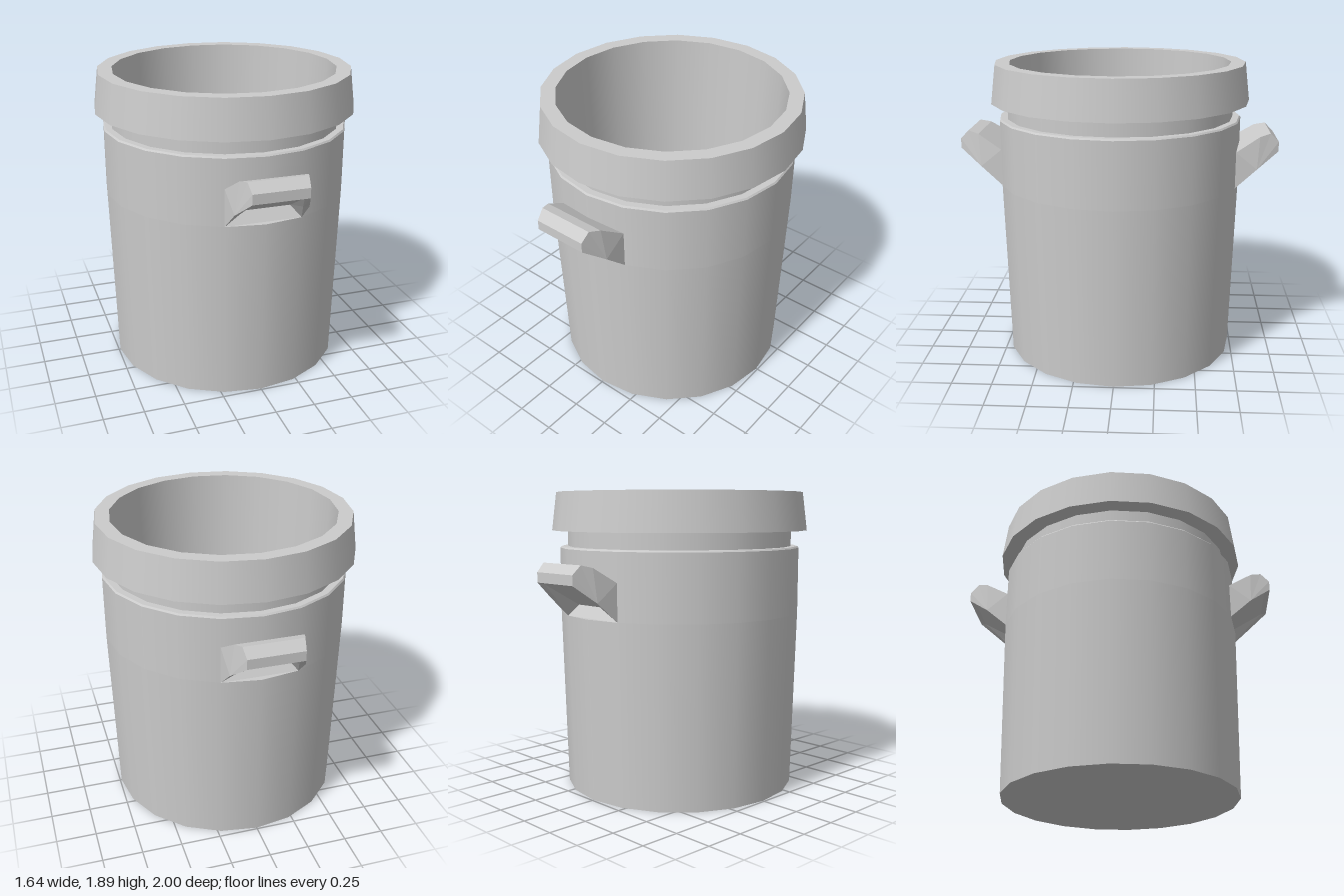
import * as THREE from 'three';

const SIDES = 20;
const STEP = (Math.PI * 2) / SIDES;
const material = new THREE.MeshStandardMaterial({ color: 0xcccccc });

// One creased band per profile segment: smooth around, sharp between bands.
function turned(name, profile, start = 0, segments = SIDES) {
  const group = new THREE.Group();
  group.name = name;
  for (let i = 0; i < profile.length - 1; i++) {
    const points = [profile[i], profile[i + 1]].map(([r, y]) => new THREE.Vector2(r, y));
    const band = new THREE.Mesh(
      new THREE.LatheGeometry(points, segments, start * STEP, segments * STEP), material);
    band.name = name + 'Band';
    group.add(band);
  }
  return group;
}

// Hollow grip: a sloping hood with two cheeks over a recess in the wall.
function handleGeometry() {
  const p = (x, y, z) => new THREE.Vector3(x, y, z);
  const mirror = (v) => p(-v.x, v.y, v.z);
  const wallTop = p(0.238, 1.36, 0.732), slope = p(0.205, 1.453, 0.88);
  const crest = p(0.18, 1.47, 0.947), nose = p(0.17, 1.416, 1);
  const lip = p(0.17, 1.355, 1), innerLip = p(0.15, 1.345, 0.965);
  const cheek = p(0.225, 1.25, 0.866), innerCheek = p(0.19, 1.25, 0.856);
  const recess = p(0.18, 1.2, 0.69), wallBottom = p(0.238, 1.13, 0.732);

  const out = [];
  const tri = (a, b, c) => [a, b, c].forEach((v) => out.push(v.x, v.y, v.z));
  const bothSides = (a, b, c) => {
    tri(a, b, c);
    tri(mirror(a), mirror(c), mirror(b));
  };

  // Strips across the hood, lip, underside and recess ledge
  const rows = [wallTop, slope, crest, nose, lip, innerLip, recess, wallBottom];
  for (let i = 0; i < rows.length - 1; i++) {
    const a = rows[i], b = rows[i + 1];
    tri(mirror(a), mirror(b), b);
    tri(mirror(a), b, a);
  }
  // Ledge edge out to the corner of the wall
  tri(mirror(wallBottom), p(0, 1.13, 0.77), wallBottom);

  // Outer cheeks
  const outline = [wallBottom, wallTop, slope, crest, nose, lip];
  for (let i = 0; i < outline.length - 1; i++) bothSides(cheek, outline[i], outline[i + 1]);

  // Cheek rims and inner cheeks
  bothSides(lip, innerLip, innerCheek);
  bothSides(lip, innerCheek, cheek);
  bothSides(cheek, innerCheek, wallBottom);
  bothSides(innerLip, recess, innerCheek);
  bothSides(innerCheek, recess, wallBottom);

  const geometry = new THREE.BufferGeometry();
  geometry.setAttribute('position', new THREE.Float32BufferAttribute(out, 3));
  geometry.computeVertexNormals();
  return geometry;
}

export function createModel() {
  const model = new THREE.Group();
  model.name = 'bucket';

  // Tapered wall, left open behind each handle
  model.add(turned('lowerBody', [[0, 0], [0.74, 0], [0.77, 1.13]]));
  for (const start of [1, 11]) {
    model.add(turned('handleBandWall', [[0.77, 1.13], [0.77, 1.36]], start, 8));
  }
  model.add(turned('upperBody', [[0.77, 1.36], [0.77, 1.54], [0.762, 1.55], [0.72, 1.55]]));

  // Neck and flared rim
  model.add(turned('neck', [[0.72, 1.55], [0.72, 1.65]]));
  model.add(turned('rim', [[0.72, 1.65], [0.82, 1.65], [0.79, 1.89], [0.7, 1.89]]));

  // Hollow inside and floor
  model.add(turned('interior', [[0.7, 1.89], [0.68, 1.13], [0.65, 0.05], [0, 0.05]]));

  // Front and back handles
  const geometry = handleGeometry();
  ['frontHandle', 'backHandle'].forEach((name, i) => {
    const handle = new THREE.Mesh(geometry, material);
    handle.name = name;
    handle.rotation.y = i * Math.PI;
    model.add(handle);
  });
  return model;
}
